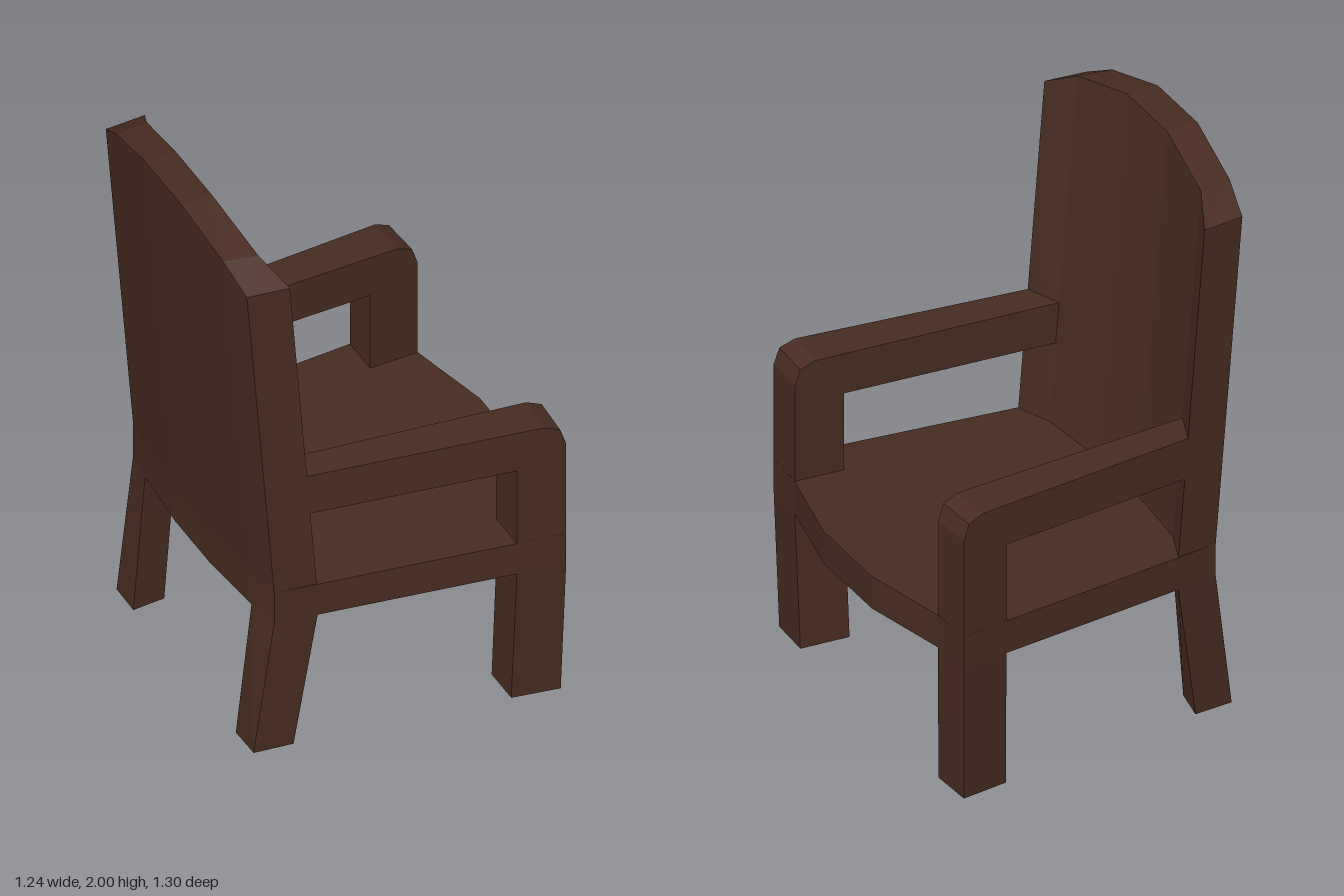
import * as THREE from 'three';
import { ConvexGeometry } from 'three/addons/geometries/ConvexGeometry.js';

const SEAT_BOTTOM = 0.512, SEAT_TOP = 0.635;

const wood = new THREE.MeshStandardMaterial({ color: 0x472c22, flatShading: true });
wood.name = 'darkWood';

const shapeOf = (pts) => new THREE.Shape(pts.map(([x, y]) => new THREE.Vector2(x, y)));

// Seat slab: bowed front and back edges, side rails flush with the legs
function seatGeometry() {
  const half = [[0.62, 0.165], [0.55, 0.487], [0.54, 0.648], [-0.32, 0.548], [-0.47, 0.53], [-0.49, 0.4], [-0.51, 0.135]];
  const outline = [...half, ...half.map(([x, z]) => [x, -z]).reverse()];
  const geo = new THREE.ExtrudeGeometry(shapeOf(outline), { depth: SEAT_TOP - SEAT_BOTTOM, bevelEnabled: false });
  return geo.rotateX(Math.PI / 2).translate(0, SEAT_TOP, 0);
}

// Curved, leaning backrest: quad sections joined from right to left
function backGeometry() {
  // z front, z rear, top height, front x bottom/top, rear x bottom/top
  const half = [
    [0.137, 0.135, 2.0, -0.395, -0.505, -0.51, -0.62],
    [0.42, 0.4, 1.93, -0.37, -0.475, -0.49, -0.594],
    [0.545, 0.53, 1.86, -0.322, -0.42, -0.47, -0.57],
  ];
  const section = ([zf, zr, top, fb, ft, rb, rt], s) => [
    [fb, SEAT_TOP, s * zf], [ft, top, s * zf], [rt, top, s * zr], [rb, SEAT_TOP, s * zr],
  ];
  const rings = [...half.map((h) => section(h, -1)).reverse(), ...half.map((h) => section(h, 1))];
  const pos = [];
  const quad = (a, b, c, d) => pos.push(...a, ...b, ...c, ...a, ...c, ...d);
  for (let k = 0; k < rings.length - 1; k++) {
    for (let i = 0; i < 4; i++) {
      const j = (i + 1) % 4;
      quad(rings[k][i], rings[k][j], rings[k + 1][j], rings[k + 1][i]);
    }
  }
  quad(...rings[rings.length - 1]);
  quad(...[...rings[0]].reverse());
  const geo = new THREE.BufferGeometry();
  geo.setAttribute('position', new THREE.Float32BufferAttribute(pos, 3));
  geo.computeVertexNormals();
  return geo;
}

// Armrest and front post in one L profile, splayed outward toward the front
function armGeometry(side) {
  const profile = [
    [0.37, SEAT_TOP], [0.54, SEAT_TOP], [0.54, 1.0], [0.52, 1.058], [0.465, 1.08],
    [-0.42, 1.08], [-0.42, 0.928], [0.37, 0.928],
  ];
  const geo = new THREE.ExtrudeGeometry(shapeOf(profile), { depth: 1, bevelEnabled: false });
  const p = geo.attributes.position;
  for (let i = 0; i < p.count; i++) {
    const x = p.getX(i);
    const t = side > 0 ? p.getZ(i) : 1 - p.getZ(i);
    const inner = 0.449 + 0.0725 * x;
    const outer = 0.586 + 0.114 * x;
    p.setZ(i, side * THREE.MathUtils.lerp(inner, outer, t));
    if (x > 0.45) p.setX(i, x + 0.009 * (1 - t));
  }
  geo.computeVertexNormals();
  return geo;
}

// Tapered leg from matching bottom and top outlines in x, z
function legGeometry(bottom, top, side) {
  const at = (y) => ([x, z]) => new THREE.Vector3(x, y, side * z);
  return new ConvexGeometry([...bottom.map(at(0)), ...top.map(at(SEAT_BOTTOM))]);
}

export function createModel() {
  const chair = new THREE.Group();
  chair.name = 'armchair';
  const add = (name, geo) => {
    const mesh = new THREE.Mesh(geo, wood);
    mesh.name = name;
    chair.add(mesh);
  };

  add('seat', seatGeometry());
  add('backrest', backGeometry());

  for (const [label, side] of [['left', -1], ['right', 1]]) {
    add(label + 'Armrest', armGeometry(side));
    add(label + 'FrontLeg', legGeometry(
      [[0.36, 0.458], [0.36, 0.605], [0.53, 0.628], [0.538, 0.47]],
      [[0.37, 0.476], [0.37, 0.628], [0.54, 0.648], [0.55, 0.487]], side));
    add(label + 'RearLeg', legGeometry(
      [[-0.42, 0.4], [-0.397, 0.525], [-0.538, 0.515], [-0.54, 0.385]],
      [[-0.37, 0.42], [-0.32, 0.548], [-0.47, 0.53], [-0.49, 0.4]], side));
  }
  return chair;
}
